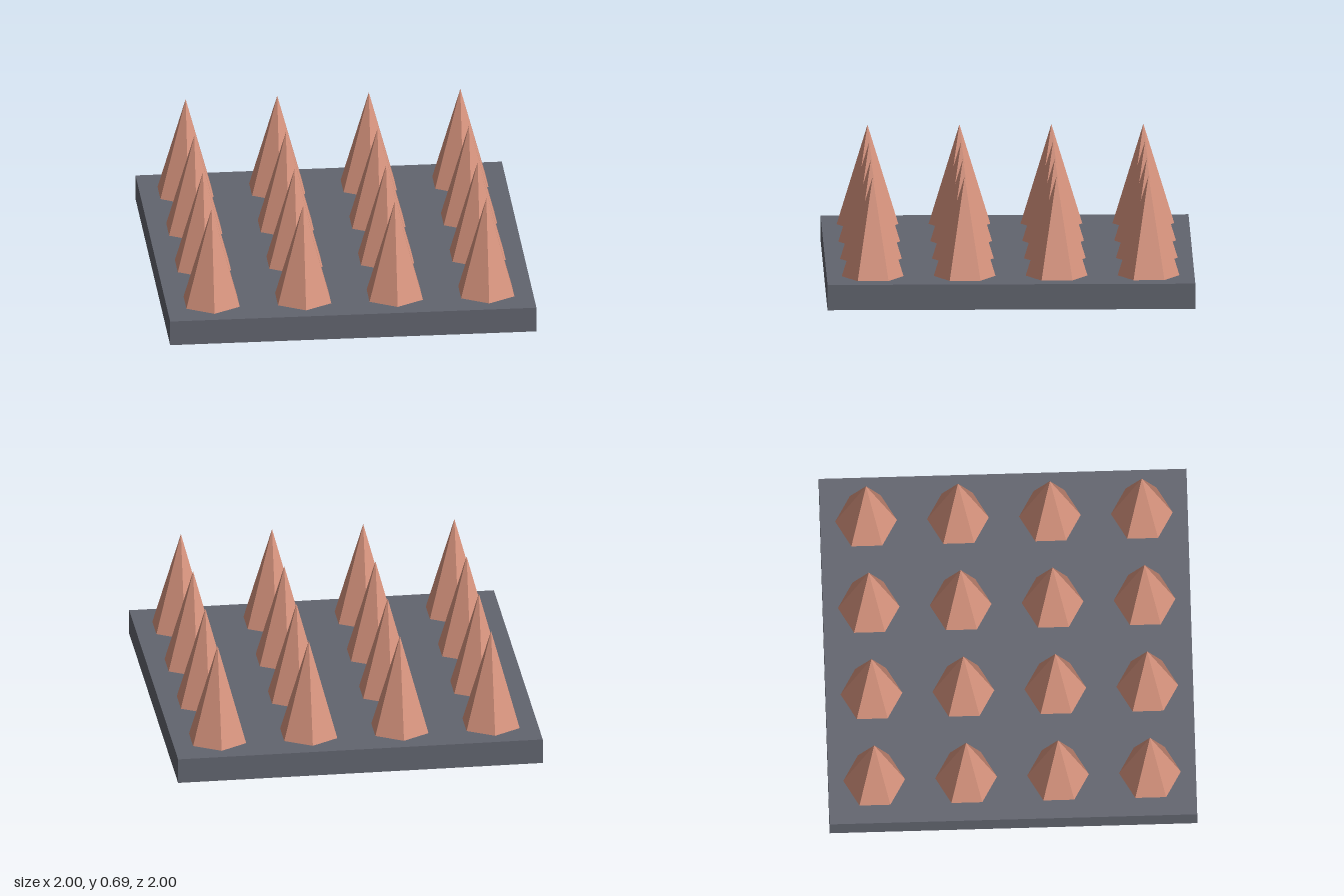
import * as THREE from 'three';

export function createModel() {
  const model = new THREE.Group();
  model.name = 'spikePlate';

  const slate = new THREE.MeshStandardMaterial({ color: 0x62656f });
  slate.name = 'slate grey';
  const copper = new THREE.MeshStandardMaterial({ color: 0xd9957f });
  copper.name = 'copper';
  copper.flatShading = true;

  // Square base slab
  const baseHeight = 0.14;
  const base = new THREE.Mesh(new THREE.BoxGeometry(2, baseHeight, 2), slate);
  base.name = 'base';
  base.position.y = baseHeight / 2;
  model.add(base);

  // Four by four grid of six-sided spikes, corners pointing along z
  const spikeHeight = 0.55;
  const spikeGeometry = new THREE.ConeGeometry(0.168, spikeHeight, 6);
  const spikes = new THREE.Group();
  spikes.name = 'spikes';
  for (let row = 0; row < 4; row++) {
    for (let column = 0; column < 4; column++) {
      const spike = new THREE.Mesh(spikeGeometry, copper);
      spike.name = `spike${row + 1}_${column + 1}`;
      spike.position.set(-0.75 + column * 0.5, baseHeight + spikeHeight / 2, -0.75 + row * 0.5);
      spikes.add(spike);
    }
  }
  model.add(spikes);

  return model;
}
